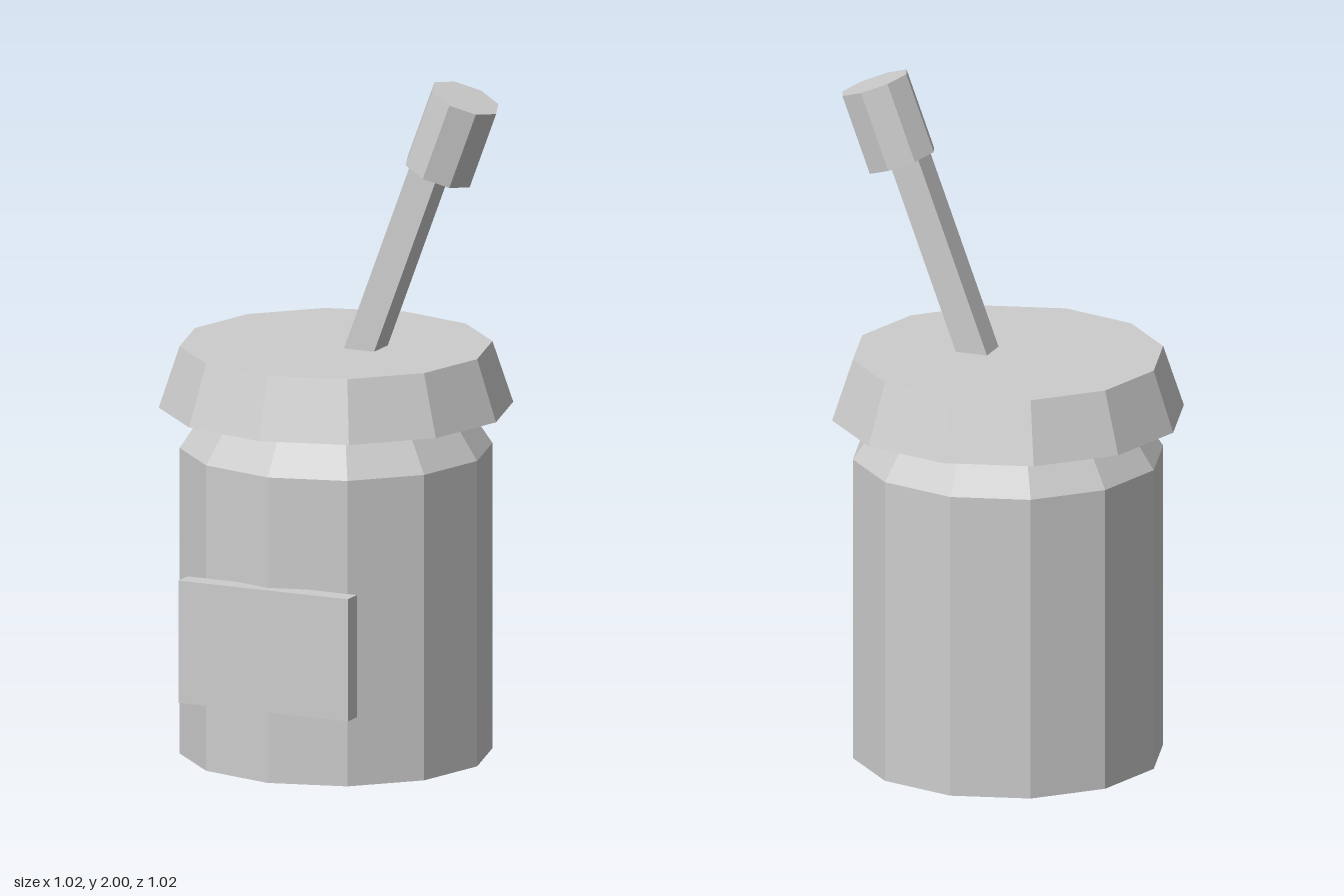
import * as THREE from 'three';

export function createModel() {
  const model = new THREE.Group();
  model.name = 'jarWithDipper';
  const clay = new THREE.MeshStandardMaterial({ color: 0xcccccc, flatShading: true });
  clay.name = 'light grey';

  const add = (name, geometry, x, y, z, tilt = 0) => {
    const mesh = new THREE.Mesh(geometry, clay);
    mesh.name = name;
    mesh.position.set(x, y, z);
    mesh.rotation.z = -tilt;
    model.add(mesh);
  };

  // Twelve-sided jar with a sloping shoulder and an overhanging lid
  add('jarBody', new THREE.CylinderGeometry(0.45, 0.45, 0.9, 12), 0, 0.45, 0);
  add('shoulder', new THREE.CylinderGeometry(0.37, 0.45, 0.12, 12, 1, true), 0, 0.96, 0);
  add('lid', new THREE.CylinderGeometry(0.45, 0.51, 0.18, 12), 0, 1.11, 0);

  // Label plate, slightly sunk into the front
  add('label', new THREE.BoxGeometry(0.54, 0.36, 0.06), 0, 0.395, 0.45);

  // Leaning dipper: square stick with an eight-sided head
  const lean = 0.36;
  add('dipperStick', new THREE.BoxGeometry(0.09, 0.74, 0.09), 0.193, 1.46, 0, lean);
  add('dipperHead', new THREE.CylinderGeometry(0.105, 0.105, 0.24, 8), 0.37, 1.853, 0, lean);

  return model;
}
